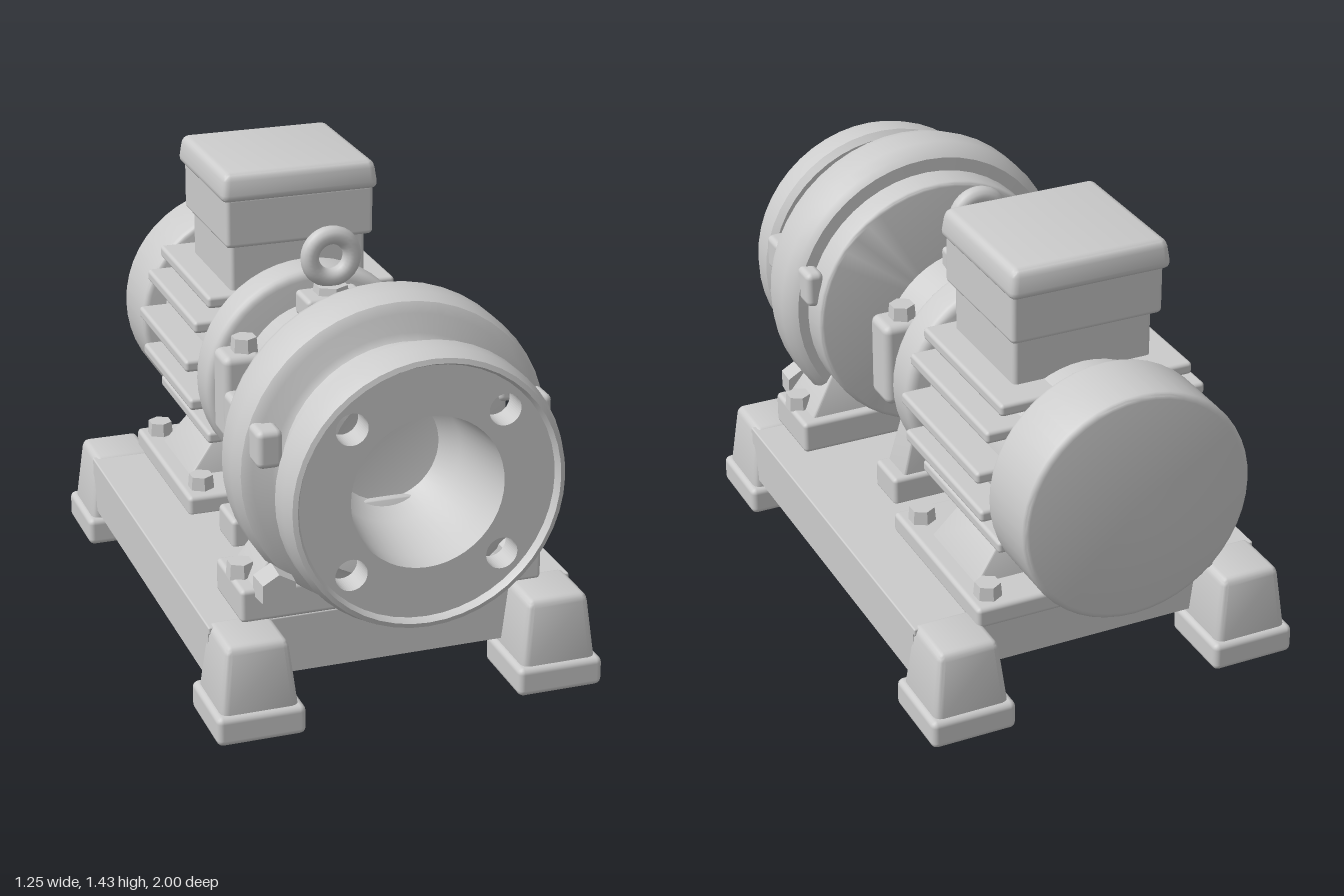
import * as THREE from 'three';
import { toCreasedNormals } from 'three/addons/utils/BufferGeometryUtils.js';
import { RoundedBoxGeometry } from 'three/addons/geometries/RoundedBoxGeometry.js';

const material = new THREE.MeshStandardMaterial({ color: 0xcccccc });
const AXIS = 0.78;

export function createModel() {
  const model = new THREE.Group();

  const add = (name, geometry, x = 0, y = 0, z = 0) => {
    const mesh = new THREE.Mesh(geometry, material);
    mesh.name = name;
    mesh.position.set(x, y, z);
    model.add(mesh);
    return mesh;
  };

  // Box given by its limits on each axis
  const box = (name, x0, x1, y0, y1, z0, z1, r = 0.015) =>
    add(name, new RoundedBoxGeometry(x1 - x0, y1 - y0, z1 - z0, 2, r),
      (x0 + x1) / 2, (y0 + y1) / 2, (z0 + z1) / 2);

  // Box narrowing from size w0 x d0 at y0 to w1 x d1 at y1
  const taper = (name, x, z, y0, y1, w0, d0, w1, d1, r = 0.01) => {
    const h = y1 - y0;
    const g = new RoundedBoxGeometry(w0, h, d0, 2, r);
    const p = g.attributes.position;
    for (let i = 0; i < p.count; i++) {
      const t = p.getY(i) / h + 0.5;
      p.setX(i, p.getX(i) * (1 + (w1 / w0 - 1) * t));
      p.setZ(i, p.getZ(i) * (1 + (d1 / d0 - 1) * t));
    }
    return add(name, toCreasedNormals(g, 0.6), x, (y0 + y1) / 2, z);
  };

  // Turned part along z, from [radius, z] pairs with z rising on the outside
  const turned = (name, points, y = AXIS) => {
    const g = new THREE.LatheGeometry(points.map(([r, z]) => new THREE.Vector2(r, z)), 48);
    g.rotateX(Math.PI / 2);
    return add(name, toCreasedNormals(g, 0.6), 0, y, 0);
  };

  // Disc with rounded edges
  const disc = (name, r, z0, z1, e, y) => {
    const pts = [[0, z0]];
    for (let i = 0; i <= 4; i++) {
      const a = (i / 4) * Math.PI / 2;
      pts.push([r - e + e * Math.sin(a), z0 + e - e * Math.cos(a)]);
    }
    for (let i = 0; i <= 4; i++) {
      const a = (i / 4) * Math.PI / 2;
      pts.push([r - e + e * Math.cos(a), z1 - e + e * Math.sin(a)]);
    }
    pts.push([0, z1]);
    return turned(name, pts, y);
  };

  const bolt = (name, x, y, z, r = 0.045, h = 0.05) =>
    add(name, toCreasedNormals(new THREE.CylinderGeometry(r * 0.9, r, h, 6), 0.6), x, y + h / 2, z);

  // Base tray, open underneath
  box('baseTop', -0.59, 0.59, 0.275, 0.3, -0.69, 0.69, 0.005);
  for (const s of [-1, 1]) {
    add('baseSideWall', new THREE.BoxGeometry(0.02, 0.17, 1.36), s * 0.58, 0.205, 0);
    add('baseEndWall', new THREE.BoxGeometry(1.16, 0.18, 0.02), 0, 0.2, s * 0.68);
  }

  // Flared corner feet
  for (const x of [-0.485, 0.485]) for (const z of [-0.76, 0.75]) {
    box('footPad', x - 0.14, x + 0.14, 0, 0.095, z - 0.14, z + 0.14, 0.02);
    taper('foot', x, z, 0.07, 0.305, 0.25, 0.25, 0.195, 0.2, 0.025);
  }

  // Pump volute, back plate and neck
  disc('pumpBackPlate', 0.435, 0.405, 0.53, 0.015);
  turned('pumpVolute', [[0.3, 0.505], [0.47, 0.51], [0.49, 0.53], [0.505, 0.57], [0.505, 0.66],
    [0.49, 0.71], [0.46, 0.73], [0.4, 0.735], [0.38, 0.75], [0.37, 0.86]], 0.79);

  // Inlet flange: rim, drilled face and bore
  turned('flangeRim', [[0.24, 0.86], [0.42, 0.86], [0.44, 0.88], [0.44, 0.95], [0.425, 0.995],
    [0.41, 1], [0.4, 0.98], [0.4, 0.96]]);
  const face = new THREE.Shape();
  face.absarc(0, 0, 0.405, 0, Math.PI * 2);
  const holeAt = (x, y, r) => {
    const path = new THREE.Path();
    path.absarc(x, y, r, 0, Math.PI * 2, true);
    face.holes.push(path);
  };
  holeAt(0, 0, 0.24);
  for (const x of [-0.237, 0.237]) for (const y of [-0.23, 0.23]) holeAt(x, y, 0.05);
  add('flangeFace', new THREE.ExtrudeGeometry(face,
    { depth: 0.09, bevelEnabled: false, curveSegments: 24 }), 0, AXIS, 0.885);
  turned('inletBore', [[0.24, 0.975], [0.235, 0.9], [0.21, 0.7], [0.17, 0.62], [0, 0.6]]);

  // Pump pedestal with anchor bolts and side lugs
  box('pumpFoot', -0.49, 0.49, 0.3, 0.41, 0.44, 0.7);
  taper('pumpPedestal', 0, 0.58, 0.4, 0.62, 0.9, 0.22, 0.62, 0.12);
  for (const s of [-1, 1]) {
    bolt('pumpFootBolt', s * 0.455, 0.405, 0.58);
    bolt('pumpFrontBolt', s * 0.39, 0.38, 0.725, 0.066, 0.08).rotation.x = Math.PI / 2;
    box('pumpSideLug', s * 0.425 - 0.04, s * 0.425 + 0.04, 0.84, 0.96, 0.7, 0.8, 0.02);
    box('pumpBackLug', s * 0.43 - 0.03, s * 0.43 + 0.03, 0.84, 0.96, 0.44, 0.54, 0.02);
  }
  taper('pumpLowerLug', 0, 0.76, 0.32, 0.44, 0.05, 0.08, 0.16, 0.08);

  // Shaft and bearing housing
  turned('shaft', [[0.125, 0.15], [0.125, 0.43]]);
  turned('bearingHousing', [[0.25, -0.04], [0.27, 0.06], [0.295, 0.19], [0.285, 0.2], [0, 0.2]]);
  disc('motorFrontCover', 0.37, -0.165, -0.02, 0.03, 0.77);

  // Bearing lugs, bolts and stand
  for (const s of [-1, 1]) {
    box('bearingLug', s * 0.3 - 0.065, s * 0.3 + 0.065, 0.66, 0.94, 0.02, 0.15, 0.025);
    bolt('bearingLugBolt', s * 0.28, 0.935, 0.085);
  }
  box('standFoot', -0.35, 0.35, 0.29, 0.39, 0.01, 0.165);
  taper('stand', 0, 0.09, 0.38, 0.72, 0.62, 0.13, 0.44, 0.08);

  // Lifting eye
  box('eyeBase', -0.1, 0.1, 1.03, 1.11, 0.05, 0.18);
  bolt('eyeCollar', 0, 1.1, 0.11, 0.06, 0.035);
  add('liftingEye', new THREE.TorusGeometry(0.07, 0.03, 12, 28), 0, 1.227, 0.11);

  // Motor body with cooling fins and rear cowl
  turned('motorBody', [[0.3, -0.78], [0.3, -0.14]], 0.76);
  for (const y of [1.01, 0.93, 0.8, 0.665, 0.54]) {
    const half = Math.sqrt(0.4 ** 2 - (y - 0.77) ** 2);
    box('coolingFin', -half, half, y - 0.02, y + 0.02, -0.73, -0.17, 0.012);
  }
  disc('rearCowl', 0.377, -1, -0.755, 0.02, 0.747);

  // Terminal box
  box('terminalNeck', -0.23, 0.23, 0.95, 1.19, -0.63, -0.21);
  box('terminalBox', -0.25, 0.25, 1.18, 1.35, -0.66, -0.185);
  taper('terminalLid', 0, -0.43, 1.335, 1.43, 0.535, 0.515, 0.51, 0.49, 0.025);

  // Motor foot
  box('motorFoot', -0.41, 0.41, 0.29, 0.36, -0.76, -0.12);
  taper('motorPedestal', 0, -0.46, 0.35, 0.55, 0.72, 0.33, 0.4, 0.24);
  for (const x of [-0.345, 0.345]) for (const z of [-0.69, -0.2]) bolt('motorFootBolt', x, 0.355, z);

  return model;
}
